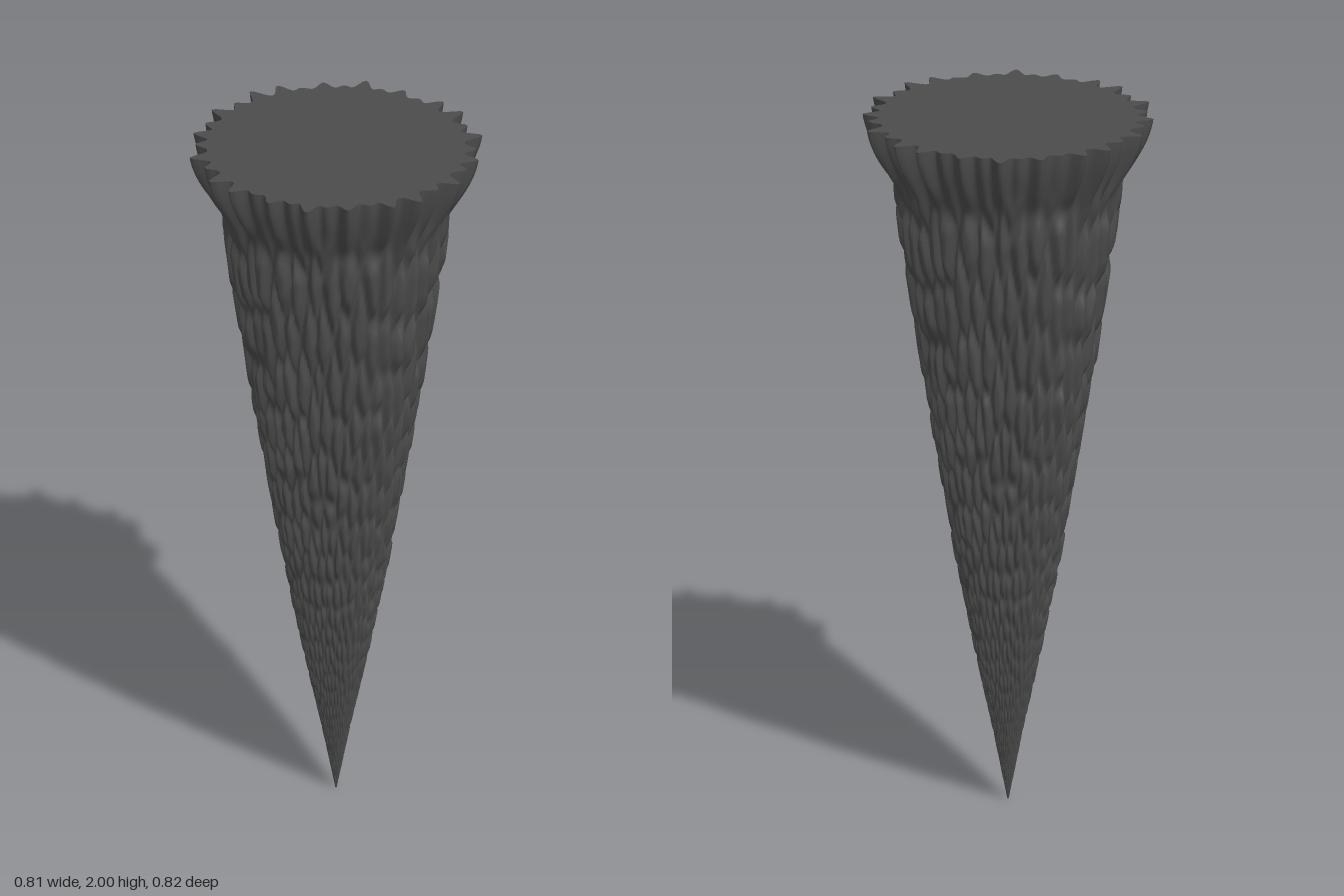
import * as THREE from 'three';

const AROUND = 288, ROWS = 170, HEIGHT = 2, DEG = Math.PI / 180;

// Outer radius at each 0.2 of height, from the tip up
const PROFILE = [0.002, 0.042, 0.086, 0.128, 0.165, 0.2, 0.234, 0.264, 0.298, 0.326, 0.362];
// Rim teeth over a quarter turn: [angle in degrees, radius]
const TEETH = [[0, 0.405], [9.7, 0.391], [21.5, 0.413], [31.5, 0.388], [43, 0.413],
  [54.5, 0.406], [63, 0.372], [73, 0.393], [82, 0.374], [90, 0.411]];
const VALLEY = 0.357;

const hash = (i, j, k) => {
  const s = Math.sin(i * 127.1 + j * 311.7 + k * 74.7) * 43758.5453;
  return s - Math.floor(s);
};
const smooth = THREE.MathUtils.smoothstep;
const lerp = THREE.MathUtils.lerp;

function outerRadius(y) {
  const t = Math.min(y / 0.2, PROFILE.length - 1.001), i = Math.floor(t);
  return lerp(PROFILE[i], PROFILE[i + 1], t - i);
}

// Long staggered bark plates (cellular pattern), 0 in the grooves to about 1 on the plates
function barkHeight(deg, y) {
  const u = deg / 10, v = 10 * Math.log(y + 0.15);
  const cu = Math.round(u), cv = Math.round(v);
  let near = 9, next = 9, lift = 0;
  for (let j = cv - 2; j <= cv + 2; j++) {
    for (let i = cu - 2; i <= cu + 2; i++) {
      const pu = i + (j & 1) * 0.5 + (hash(i, j, 1) - 0.5) * 0.55;
      const pv = j + (hash(i, j, 2) - 0.5) * 0.8;
      const d = Math.hypot(u - pu, (v - pv) * 0.62);
      if (d < near) {
        next = near;
        near = d;
        lift = 0.75 + 0.25 * hash(i, j, 3) - 0.15 * (v - pv);
      } else if (d < next) next = d;
    }
  }
  return smooth(next - near, 0, 0.45) * lift;
}

// Scalloped outline of the flared rim
function rimRadius(deg) {
  let r = VALLEY;
  for (const [a, peak] of TEETH) {
    r = Math.max(r, VALLEY + (peak - VALLEY) * Math.exp(-(((deg - a) / 3) ** 2)));
  }
  return r;
}

function surfaceRadius(angle, y) {
  // Mirror one quarter around the whole cone
  let deg = (angle / DEG) % 180;
  if (deg > 90) deg = 180 - deg;
  const outer = outerRadius(y);
  const bark = outer * (0.915 + 0.085 * barkHeight(deg, y));
  const rim = rimRadius(deg);
  const ribs = outer * (0.93 + 0.07 * (rim - VALLEY) / 0.05);
  const body = lerp(bark, ribs, smooth(y, 1.72, 1.93));
  return lerp(body, rim, smooth(y, 1.8, 2.03) / smooth(2, 1.8, 2.03));
}

function ringPoint(i, y) {
  const a = (i % AROUND) / AROUND * Math.PI * 2;
  const r = surfaceRadius(a, y);
  return [r * Math.cos(a), y, r * Math.sin(a)];
}

function makeGeometry(positions, index) {
  const g = new THREE.BufferGeometry();
  g.setAttribute('position', new THREE.Float32BufferAttribute(positions, 3));
  g.setIndex(index);
  g.computeVertexNormals();
  return g;
}

// Tapering bark wall, with shared seam vertices for smooth shading
function barkGeometry() {
  const positions = [], index = [];
  for (let j = 0; j <= ROWS; j++) {
    const y = HEIGHT * (j / ROWS) ** 1.3;
    for (let i = 0; i < AROUND; i++) positions.push(...ringPoint(i, y));
  }
  for (let j = 0; j < ROWS; j++) {
    for (let i = 0; i < AROUND; i++) {
      const a = j * AROUND + i, b = j * AROUND + (i + 1) % AROUND;
      index.push(a, a + AROUND, b, b, a + AROUND, b + AROUND);
    }
  }
  return makeGeometry(positions, index);
}

// Flat top following the scalloped rim
function capGeometry() {
  const positions = [0, HEIGHT, 0], index = [];
  for (let i = 0; i < AROUND; i++) {
    positions.push(...ringPoint(i, HEIGHT));
    index.push(0, 1 + (i + 1) % AROUND, 1 + i);
  }
  return makeGeometry(positions, index);
}

export function createModel() {
  const stone = new THREE.MeshStandardMaterial({ color: 0x4c4c4c });
  stone.name = 'darkGrey';

  const model = new THREE.Group();
  model.name = 'barkSpike';
  const parts = { barkWall: barkGeometry(), topCap: capGeometry() };
  for (const [name, geometry] of Object.entries(parts)) {
    const mesh = new THREE.Mesh(geometry, stone);
    mesh.name = name;
    model.add(mesh);
  }
  return model;
}
